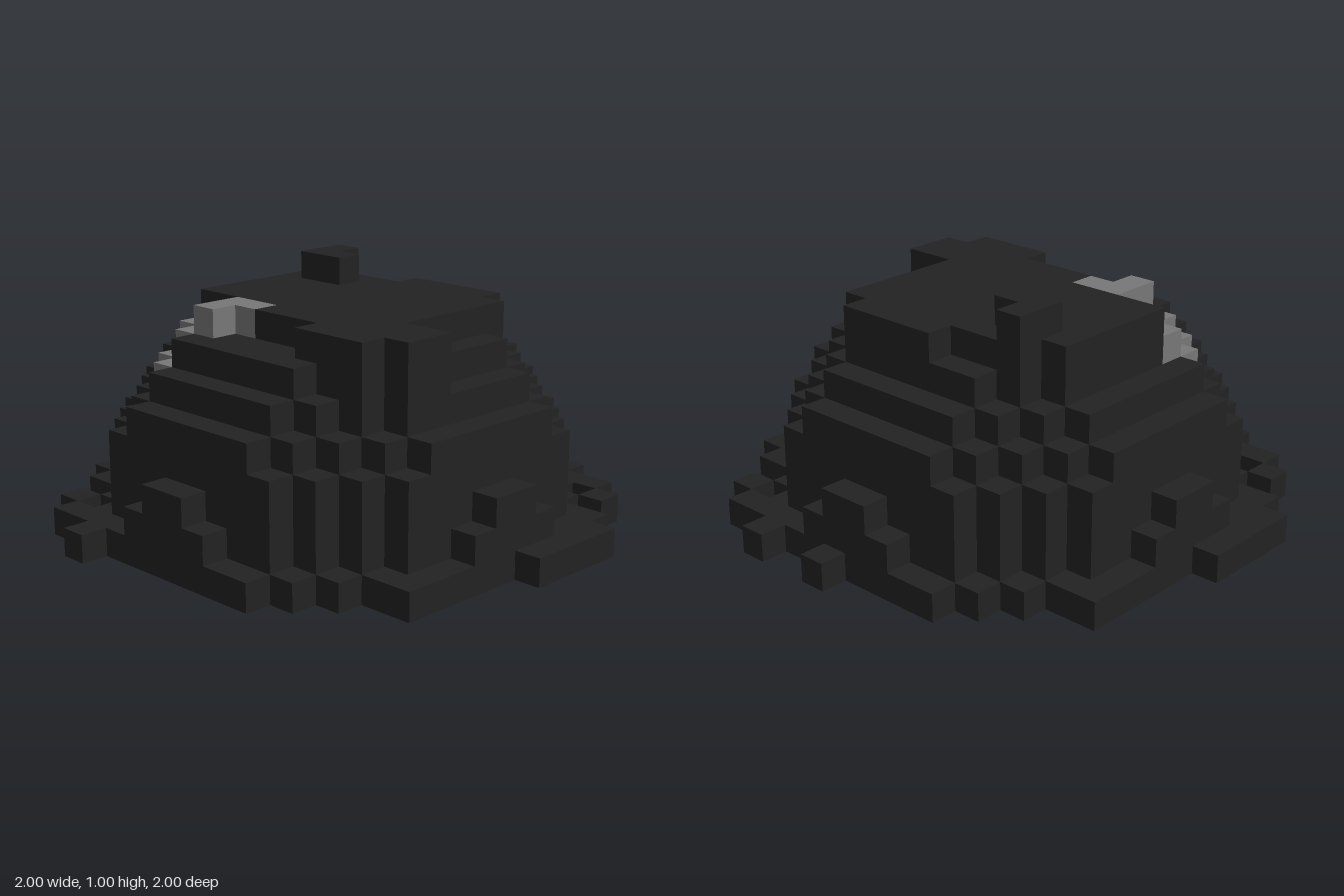
import * as THREE from 'three';
import { mergeGeometries } from 'three/addons/utils/BufferGeometryUtils.js';

const N = 18;          // blocks across
const S = 2 / N;       // block size

const coal = new THREE.MeshStandardMaterial({ color: 0x222222 });
coal.name = 'charcoal';
const ash = new THREE.MeshStandardMaterial({ color: 0x777777 });
ash.name = 'ash grey';

const key = (i, k, j) => `${i},${k},${j}`;

function buildBlocks() {
  const blocks = new Map();
  const put = (i, k, j, mat = coal) => blocks.set(key(i, k, j), { p: [i, k, j], mat });
  const run = (k, j, from, to) => { for (let i = from; i < to; i++) put(i, k, j); };

  // ragged base: one [from, to) run per row, back to front
  const base = [[9, 10], [5, 15], [4, 14], [3, 15], [1, 17],
    [1, 18], [1, 18], [1, 18], [1, 18], [0, 17], [0, 17], [0, 17], [0, 17],
    [1, 17], [3, 15], [4, 14], [3, 13], [5, 6]];
  base.forEach(([a, b], j) => run(0, j, a, b));
  // loose blocks around the base
  put(12, 0, 0); put(15, 0, 2); put(2, 0, 15);

  // rounded layers narrowing upwards
  [7.7, 7.6, 7.42, 7.1, 6.3, 5.5].forEach((r, n) => {
    for (let i = 0; i < N; i++) for (let j = 0; j < N; j++) {
      if (Math.hypot(i - 8.5, j - 8.5) < r) put(i, n + 1, j);
    }
  });

  // uneven plateau with a cliff on one side: [row, from, to)
  const plateau = [[4, 8, 12], [5, 5, 13], [6, 4, 13], [7, 4, 13], [8, 4, 13],
    [9, 4, 13], [10, 4, 15], [11, 6, 15], [12, 6, 7], [12, 11, 14]];
  for (const [j, a, b] of plateau) {
    run(7, j, a, b);
    run(6, j, a, b);
  }

  // small peak
  put(5, 8, 5); put(5, 8, 6); put(6, 8, 6);

  // grey seam running down the shoulder
  for (const [i, k, j] of [[6, 7, 11], [7, 7, 11], [6, 7, 12],
    [4, 6, 11], [5, 6, 12], [4, 5, 12], [5, 5, 13]]) put(i, k, j, ash);
  return blocks;
}

// outward square for each of the six directions
const sides = [[1, 0, 0], [-1, 0, 0], [0, 1, 0], [0, -1, 0], [0, 0, 1], [0, 0, -1]].map((dir) => {
  const g = new THREE.PlaneGeometry(S, S);
  const d = new THREE.Vector3(...dir);
  g.applyQuaternion(new THREE.Quaternion().setFromUnitVectors(new THREE.Vector3(0, 0, 1), d));
  g.translate(d.x * S / 2, d.y * S / 2, d.z * S / 2);
  return { dir, g };
});

// only the exposed faces of the blocks with the given material
function skin(blocks, mat) {
  const faces = [];
  for (const { p: [i, k, j], mat: m } of blocks.values()) {
    if (m !== mat) continue;
    for (const { dir, g } of sides) {
      if (blocks.has(key(i + dir[0], k + dir[1], j + dir[2]))) continue;
      faces.push(g.clone().translate((i + 0.5) * S - 1, (k + 0.5) * S, (j + 0.5) * S - 1));
    }
  }
  return mergeGeometries(faces);
}

export function createModel() {
  const group = new THREE.Group();
  group.name = 'blockMound';
  const blocks = buildBlocks();
  for (const [name, mat] of [['mound', coal], ['greySeam', ash]]) {
    const mesh = new THREE.Mesh(skin(blocks, mat), mat);
    mesh.name = name;
    group.add(mesh);
  }
  return group;
}
